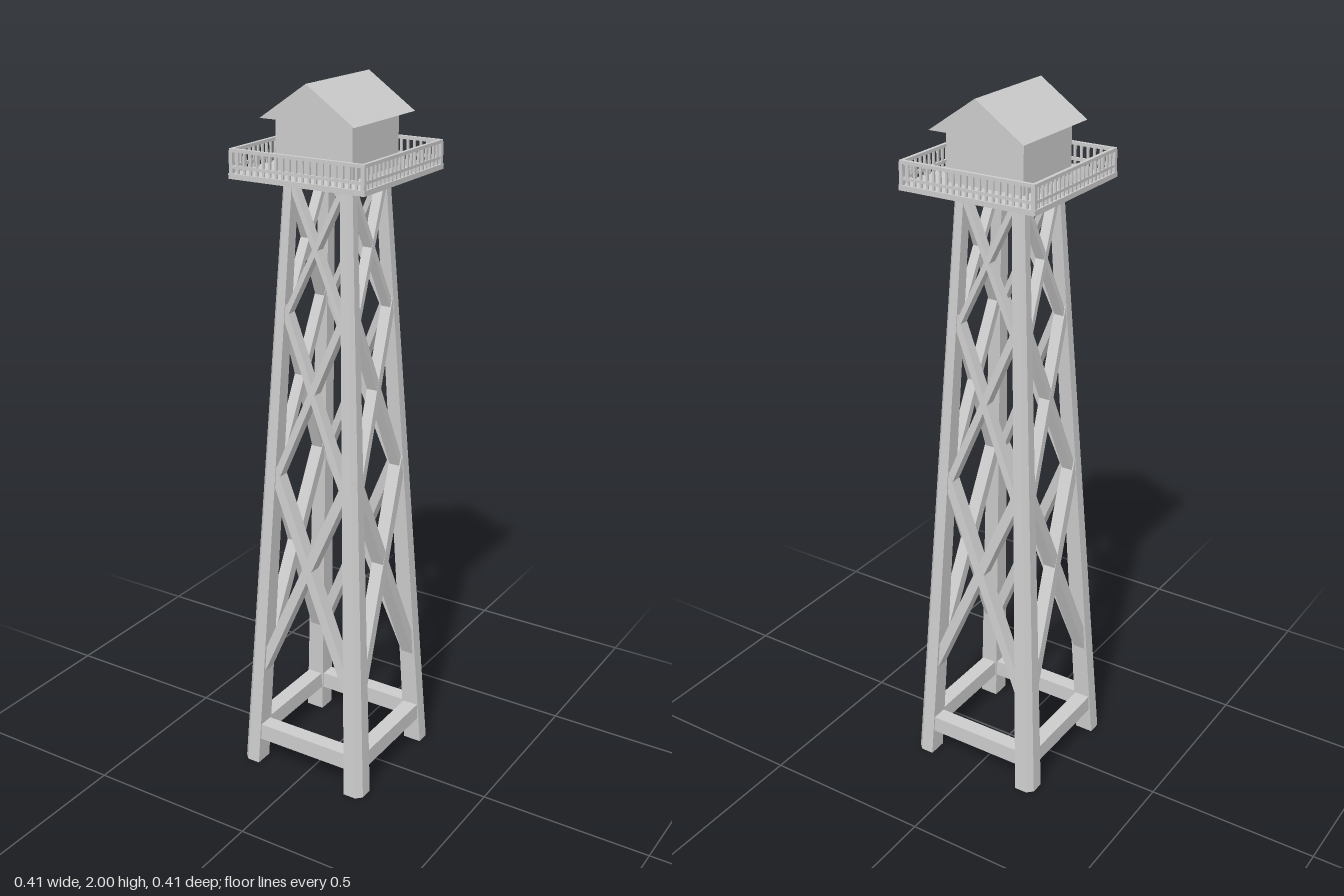
import * as THREE from 'three';

const mat = new THREE.MeshStandardMaterial({ color: 0xcccccc, flatShading: true });
const V = (x, y, z) => new THREE.Vector3(x, y, z);
const lerp = THREE.MathUtils.lerp;

const TOP = 1.755; // height of the platform underside
const legCentre = (y) => lerp(0.177, 0.088, y / TOP);
const legSize = (y) => lerp(0.055, 0.032, y / TOP);

function add(parent, name, geometry, x = 0, y = 0, z = 0) {
  const mesh = new THREE.Mesh(geometry, mat);
  mesh.name = name;
  mesh.position.set(x, y, z);
  parent.add(mesh);
  return mesh;
}

function box(parent, name, w, h, d, x, y, z) {
  return add(parent, name, new THREE.BoxGeometry(w, h, d), x, y, z);
}

// Beam from a to b, wide in the panel plane and deep along its normal
function beam(parent, name, a, b, width, depth) {
  const along = b.clone().sub(a);
  const length = along.length();
  along.normalize();
  const side = along.clone().cross(V(0, 0, 1)).normalize();
  const mesh = add(parent, name, new THREE.BoxGeometry(width, length, depth));
  mesh.quaternion.setFromRotationMatrix(
    new THREE.Matrix4().makeBasis(side, along, side.clone().cross(along)));
  mesh.position.copy(a).add(b).multiplyScalar(0.5);
}

// Tapering, leaning leg with its outer corner chamfered
function legGeometry() {
  const shape = new THREE.Shape([
    [-0.5, -0.5], [0.5, -0.5], [0.5, 0.2], [0.2, 0.5], [-0.5, 0.5],
  ].map(([x, y]) => new THREE.Vector2(x, y)));
  const geo = new THREE.ExtrudeGeometry(shape, { depth: TOP, bevelEnabled: false });
  const p = geo.attributes.position;
  for (let i = 0; i < p.count; i++) {
    const y = p.getZ(i), s = legSize(y), c = legCentre(y);
    p.setXYZ(i, c + p.getY(i) * s, y, c + p.getX(i) * s);
  }
  geo.computeVertexNormals();
  return geo;
}

// One side of the tower: leg, foot beam and three crossed bays
function towerSide() {
  const side = new THREE.Group();
  side.name = 'towerSide';
  add(side, 'leg', legGeometry());
  const c = legCentre(0.105);
  box(side, 'footBeam', 2 * c, 0.05, 0.046, 0, 0.105, c);
  const bays = [[0.28, 0.965, 0.028], [0.86, 1.43, 0.02], [1.34, 1.758, 0.015]];
  for (const [y0, y1, width] of bays) {
    const c0 = legCentre(y0), c1 = legCentre(y1);
    const depth = legSize((y0 + y1) / 2) * 0.8;
    for (const s of [-1, 1]) {
      beam(side, 'crossBrace', V(-s * c0, y0, c0), V(s * c1, y1, c1), width, depth + s * 0.0005);
    }
  }
  return side;
}

// One side of the balcony railing
function railingSide() {
  const side = new THREE.Group();
  side.name = 'railing';
  const z = 0.196;
  box(side, 'topRail', 0.4, 0.009, 0.01, 0, 1.826, z);
  box(side, 'midRail', 0.4, 0.008, 0.008, 0, 1.784, z);
  const count = 20;
  for (let i = 0; i < count; i++) {
    const post = i === 0;
    const w = post ? 0.011 : 0.006;
    box(side, post ? 'cornerPost' : 'baluster', w, 0.062, w, -z + (2 * z * i) / count, 1.795, z);
  }
  return side;
}

export function createModel() {
  const tower = new THREE.Group();
  tower.name = 'lookoutTower';

  // Four matching sides around the vertical axis
  for (let i = 0; i < 4; i++) {
    for (const part of [towerSide(), railingSide()]) {
      part.rotation.y = (i * Math.PI) / 2;
      if (part.name === 'railing') part.position.set(0.003, 0, 0.003);
      tower.add(part);
    }
  }

  // Platform and cabin
  box(tower, 'platform', 0.406, 0.014, 0.406, 0.003, 1.76, 0.003);
  box(tower, 'cabin', 0.23, 0.142, 0.23, 0.003, 1.836, 0.003);

  // Gabled roof with its ridge running front to back
  const gable = new THREE.Shape([
    new THREE.Vector2(-0.14, 0), new THREE.Vector2(0.14, 0), new THREE.Vector2(0, 0.095),
  ]);
  const roof = new THREE.ExtrudeGeometry(gable, { depth: 0.304, bevelEnabled: false });
  add(tower, 'roof', roof, 0.003, 1.905, -0.152);

  return tower;
}
